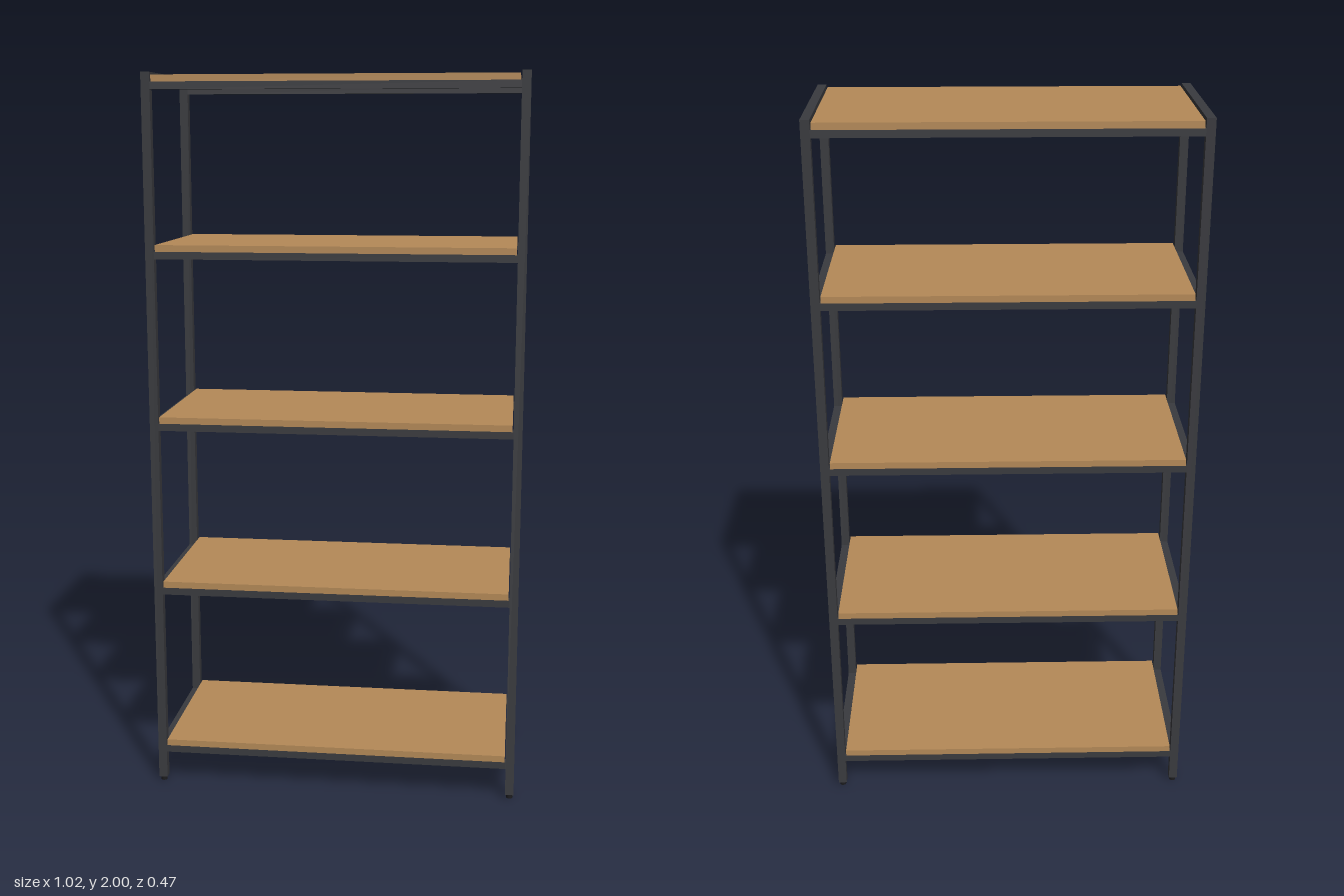
import * as THREE from 'three';

export function createModel() {
  const model = new THREE.Group();
  const steel = new THREE.MeshStandardMaterial({ color: 0x3a3b3f });
  steel.name = 'dark steel';
  const wood = new THREE.MeshStandardMaterial({ color: 0xb58a58 });
  wood.name = 'warm wood';
  const rubber = new THREE.MeshStandardMaterial({ color: 0x1c1c1e });
  rubber.name = 'black rubber';

  // Box placed by its centre
  function box(name, material, size, position, parent = model) {
    const mesh = new THREE.Mesh(new THREE.BoxGeometry(...size), material);
    mesh.position.set(...position);
    mesh.name = name;
    parent.add(mesh);
    return mesh;
  }

  const tube = 0.024;      // post thickness
  const postX = 0.499;
  const postZ = 0.221;
  const innerX = 2 * postX - tube;
  const innerZ = 2 * postZ - tube;
  const rail = 0.02;       // rail height
  const footHeight = 0.012;

  // Corner posts with small feet
  for (const sx of [-1, 1]) {
    for (const sz of [-1, 1]) {
      box('post', steel, [tube, 2 - footHeight, tube],
        [sx * postX, 1 + footHeight / 2, sz * postZ]);
      const foot = new THREE.Mesh(
        new THREE.CylinderGeometry(0.009, 0.009, footHeight, 16), rubber);
      foot.position.set(sx * postX, footHeight / 2, sz * postZ);
      foot.name = 'foot';
      model.add(foot);
    }
  }

  // Five shelves, each a board on long rails with a rail at either end
  const shelfBottoms = [0.09, 0.565, 1.037, 1.509, 1.955];
  shelfBottoms.forEach((y, i) => {
    const shelf = new THREE.Group();
    shelf.name = 'shelf' + (i + 1);
    model.add(shelf);
    const isTop = i === shelfBottoms.length - 1;

    box('board', wood, [innerX - 0.006, 0.018, 2 * postZ + tube],
      [0, y + rail + 0.009, 0], shelf);
    for (const s of [-1, 1]) {
      box('longRail', steel, [innerX, rail, tube], [0, y + rail / 2, s * postZ], shelf);
      // The top end rails sit flush with the post tops
      const endY = isTop ? 2 - rail / 2 : y + rail / 2;
      box('endRail', steel, [tube, rail, innerZ], [s * postX, endY, 0], shelf);
    }
  });

  return model;
}
